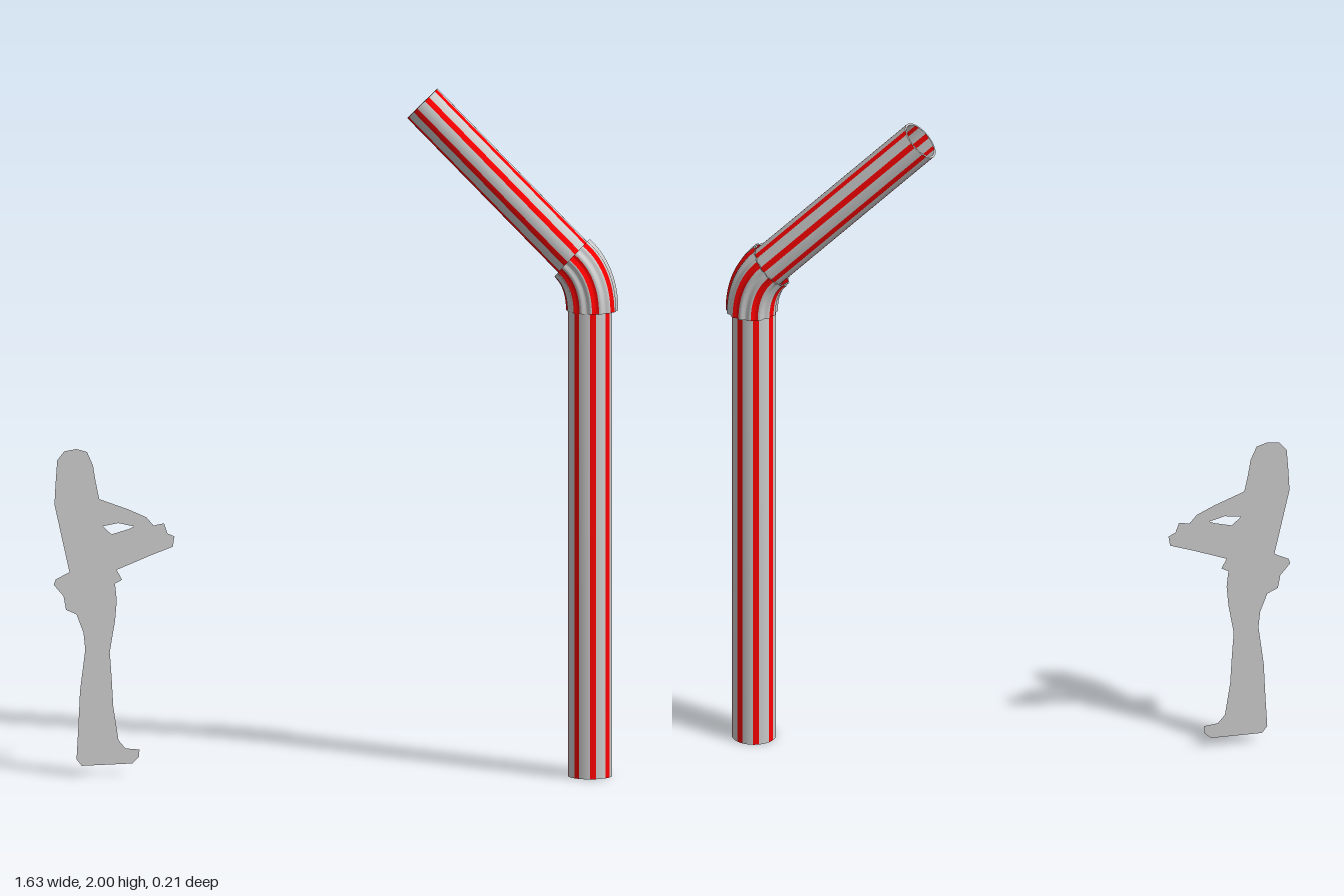
import * as THREE from 'three';
import { mergeGeometries } from 'three/addons/utils/BufferGeometryUtils.js';

const V = (x, y, z) => new THREE.Vector3(x, y, z);
const WHITE = new THREE.MeshStandardMaterial({ color: 0xffffff });
const RED = new THREE.MeshStandardMaterial({ color: 0xff0000 });
const GREY = new THREE.MeshStandardMaterial({ color: 0xcccccc, side: THREE.DoubleSide });

const STRIPES = 8;
const STEP = (Math.PI * 2) / STRIPES;
const HALF = 0.14; // half the angle covered by a red stripe

// Point on the wall around a path; angle runs from +z towards +x
function wallPoint(path, t, angle, r) {
  const T = path.getTangent(t);
  const N = V(0, 0, 1).addScaledVector(T, -T.z).normalize();
  const B = V(0, 0, 0).crossVectors(T, N);
  return path.getPoint(t).addScaledVector(N, Math.cos(angle) * r).addScaledVector(B, Math.sin(angle) * r);
}

// Grid surface from a function of (u, v)
function surface(nu, nv, fn) {
  const pos = [], idx = [];
  for (let i = 0; i <= nu; i++) {
    for (let j = 0; j <= nv; j++) {
      pos.push(...fn(i / nu, j / nv).toArray());
      if (i < nu && j < nv) {
        const a = i * (nv + 1) + j, d = a + nv + 1;
        idx.push(a, a + 1, d, a + 1, d + 1, d);
      }
    }
  }
  const g = new THREE.BufferGeometry();
  g.setAttribute('position', new THREE.Float32BufferAttribute(pos, 3));
  g.setIndex(idx);
  g.computeVertexNormals();
  return g;
}

// Striped tube with wall thickness, as one closed mesh; radius is a function of the angle
function stripedTube(name, path, { segs, radius, wall, detail, phase }) {
  const geos = [], mats = [];
  const sector = (a0, a1, n, mat) => {
    const at = (t, v, depth) => {
      const a = a0 + (a1 - a0) * v;
      return wallPoint(path, t, a, radius(a) - depth * wall);
    };
    geos.push(
      surface(segs, n, (u, v) => at(u, v, 0)), // outside
      surface(segs, n, (u, v) => at(u, 1 - v, 1)), // inside
      surface(1, n, (u, v) => at(0, 1 - v, u)), // lower rim
      surface(1, n, (u, v) => at(1, v, u)), // upper rim
    );
    mats.push(mat, mat, WHITE, WHITE);
  };
  for (let i = 0; i < STRIPES; i++) {
    const c = phase + i * STEP;
    sector(c - HALF, c + HALF, detail, RED);
    sector(c + HALF, c + STEP - HALF, detail * 2, WHITE);
  }
  const mesh = new THREE.Mesh(mergeGeometries(geos, true), mats);
  mesh.name = name;
  return mesh;
}

// Flat figure cut-out, standing at a slight angle
function figure() {
  const pts = (a) => {
    const out = [];
    for (let i = 0; i < a.length; i += 2) out.push(new THREE.Vector2(a[i], a[i + 1]));
    return out;
  };
  const shape = new THREE.Shape(pts([
    -.75, .96, -.72, .95, -.703, .91, -.695, .86, -.685, .81, -.60, .775, -.55, .75, -.53, .725,
    -.50, .73, -.49, .70, -.47, .69, -.475, .66, -.54, .637, -.635, .60, -.62, .57, -.64, .56,
    -.635, .51, -.64, .45, -.655, .36, -.65, .29, -.645, .20, -.63, .10, -.61, .075, -.57, .07,
    -.572, .048, -.59, .03, -.735, .03, -.75, .05, -.745, .14, -.74, .25, -.725, .37, -.73, .42,
    -.75, .475, -.78, .49, -.787, .53, -.815, .565, -.81, .58, -.77, .60, -.783, .66, -.80, .74,
    -.813, .80, -.81, .86, -.805, .93, -.785, .955]));
  shape.holes.push(new THREE.Path(pts([-.675, .73, -.63, .737, -.585, .725, -.60, .718, -.65, .705])));
  const g = new THREE.ShapeGeometry(shape);
  const p = g.attributes.position;
  for (let i = 0; i < p.count; i++) p.setZ(i, 0.107 - 0.31 * (p.getX(i) + 0.815));
  g.computeVertexNormals();
  const m = new THREE.Mesh(g, GREY);
  m.name = 'figureCutout';
  return m;
}

export function createModel() {
  const model = new THREE.Group();
  model.name = 'drinkingStrawWithFigure';
  const lower = new THREE.LineCurve3(V(0.732, 0, 0.022), V(0.732, 1.42, 0.022));
  const upper = new THREE.LineCurve3(V(0.705, 1.495, 0.013), V(0.245, 1.957, -0.046));
  const bend = new THREE.QuadraticBezierCurve3(V(0.738, 1.365, 0.019), V(0.738, 1.463, 0.019), V(0.68, 1.516, 0.01));
  model.add(
    stripedTube('lowerTube', lower, { segs: 1, radius: () => 0.064, wall: 0.006, detail: 3, phase: 0.17 }),
    stripedTube('upperTube', upper, { segs: 1, radius: () => 0.061, wall: 0.006, detail: 3, phase: 0.45 }),
    // pleated elbow
    stripedTube('elbow', bend, {
      segs: 14, radius: (a) => 0.073 + 0.0025 * Math.cos(16 * a), wall: 0.004, detail: 12, phase: 0.17,
    }),
    figure(),
  );
  return model;
}
